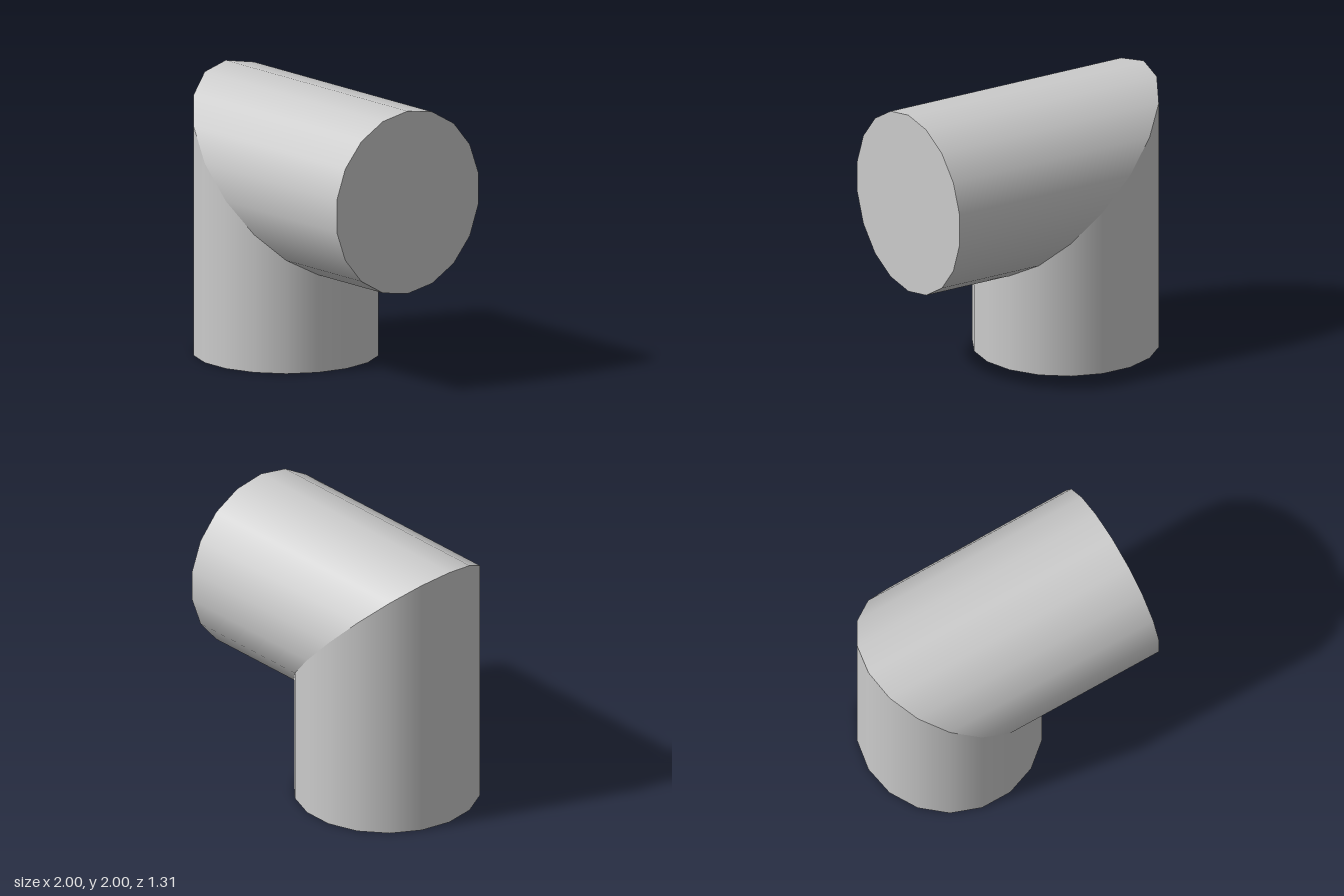
import * as THREE from 'three';

const R = 0.665;      // pipe radius
const SIDES = 18;
const CX = R - 1;     // axis of the upright pipe

// One pipe arm: stands on y = 0, its top cut along the mitre plane x + y = 1
function makeArm(name, material) {
  const arm = new THREE.Group();
  arm.name = name;

  const tube = new THREE.CylinderGeometry(R, R, 1, SIDES, 1, true, Math.PI / 2);
  tube.translate(CX, 0.5, 0);
  const pos = tube.attributes.position;
  for (let i = 0; i < pos.count; i++) {
    if (pos.getY(i) > 0.5) pos.setY(i, 1 - pos.getX(i));
  }
  const wall = new THREE.Mesh(tube, material);
  wall.name = name + 'Wall';

  const disc = new THREE.CircleGeometry(R, SIDES).rotateX(Math.PI / 2).translate(CX, 0, 0);
  const cap = new THREE.Mesh(disc, material);
  cap.name = name + 'EndCap';

  arm.add(wall, cap);
  return arm;
}

export function createModel() {
  const model = new THREE.Group();
  model.name = 'mitredPipeElbow';
  const material = new THREE.MeshStandardMaterial({ color: 0xcccccc });

  const upright = makeArm('uprightPipe', material);

  // Half turn about the mitre line swaps the upright arm into the horizontal one
  const horizontal = makeArm('horizontalPipe', material);
  horizontal.quaternion.setFromAxisAngle(new THREE.Vector3(1, -1, 0).normalize(), Math.PI);
  horizontal.position.set(1, 1, 0);

  model.add(upright, horizontal);
  return model;
}
